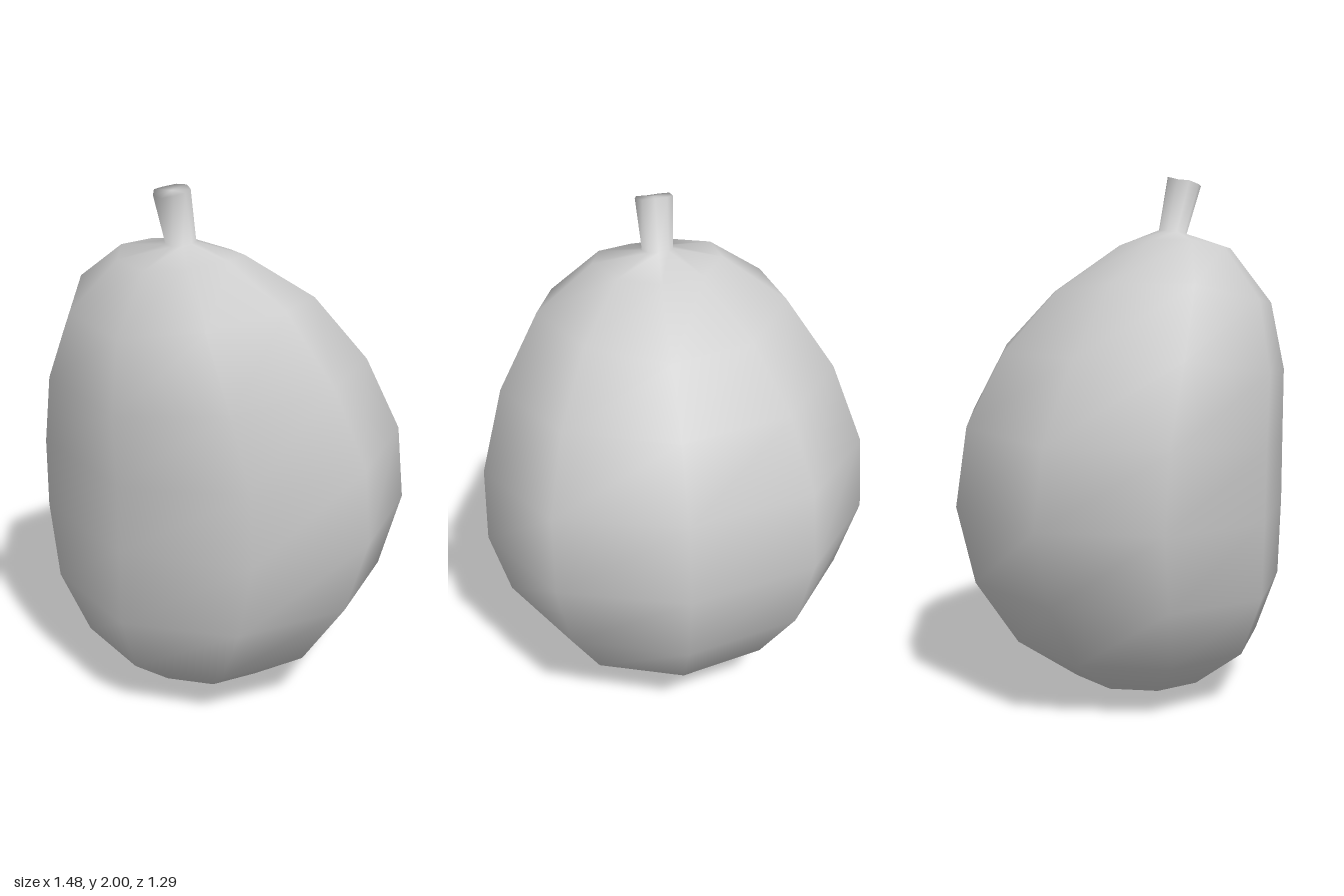
import * as THREE from 'three';

const SIDES = 9;
const PHASE = -0.03;
const CENTER_X = -0.018;

// Tilted rings from bottom to top: [x radius, side y, front z, front y, back z, back y]
const RINGS = [
  [0.28, 0.06, 0.35, 0.05, -0.18, 0.07],
  [0.51, 0.22, 0.55, 0.21, -0.42, 0.24],
  [0.68, 0.48, 0.635, 0.44, -0.58, 0.49],
  [0.76, 0.77, 0.645, 0.74, -0.645, 0.79],
  [0.75, 1.06, 0.645, 1.0, -0.6, 1.09],
  [0.65, 1.36, 0.645, 1.26, -0.46, 1.35],
  [0.48, 1.62, 0.59, 1.52, -0.26, 1.56],
  [0.25, 1.765, 0.43, 1.73, 0.0, 1.74],
  [0.06, 1.795, 0.262, 1.785, 0.156, 1.8], // stem base
  [0.072, 1.985, 0.315, 1.965, 0.188, 2.0], // stem top
];
const STEM_BASE = 8;

export function createModel() {
  const group = new THREE.Group();
  const material = new THREE.MeshStandardMaterial({ color: 0xcccccc });

  // One shared vertex set, so the shading flows from the fruit into the stem
  const positions = [CENTER_X, 0, 0.09];
  for (const [rx, sideY, frontZ, frontY, backZ, backY] of RINGS) {
    for (let j = 0; j < SIDES; j++) {
      const a = PHASE + (j / SIDES) * Math.PI * 2;
      const c = Math.cos(a);
      const s = Math.sin(a);
      const endY = s > 0 ? backY : frontY;
      positions.push(
        CENTER_X + rx * c,
        sideY + (endY - sideY) * s * s,
        (frontZ + backZ) / 2 - ((frontZ - backZ) / 2) * (s / 0.985)
      );
    }
  }
  positions.push(CENTER_X, 1.985, 0.252);
  const tip = positions.length / 3 - 1;

  const vertex = (ring, j) => 1 + ring * SIDES + (j % SIDES);
  const bodyIndex = [];
  const stemIndex = [];
  for (let j = 0; j < SIDES; j++) {
    bodyIndex.push(0, vertex(0, j + 1), vertex(0, j)); // bottom point
    for (let i = 0; i < RINGS.length - 1; i++) {
      const a = vertex(i, j), b = vertex(i, j + 1);
      const c = vertex(i + 1, j), d = vertex(i + 1, j + 1);
      (i < STEM_BASE ? bodyIndex : stemIndex).push(a, b, d, a, d, c);
    }
    const last = RINGS.length - 1;
    stemIndex.push(vertex(last, j), vertex(last, j + 1), tip); // stem cap
  }

  const whole = new THREE.BufferGeometry();
  whole.setAttribute('position', new THREE.Float32BufferAttribute(positions, 3));
  whole.setIndex([...bodyIndex, ...stemIndex]);
  whole.computeVertexNormals();

  // Split the smooth surface into its named parts
  const addPart = (name, index) => {
    const geometry = whole.clone();
    geometry.setIndex(index);
    const mesh = new THREE.Mesh(geometry, material);
    mesh.name = name;
    group.add(mesh);
  };
  addPart('fruitBody', bodyIndex);
  addPart('stem', stemIndex);

  group.name = 'fruit';
  return group;
}
